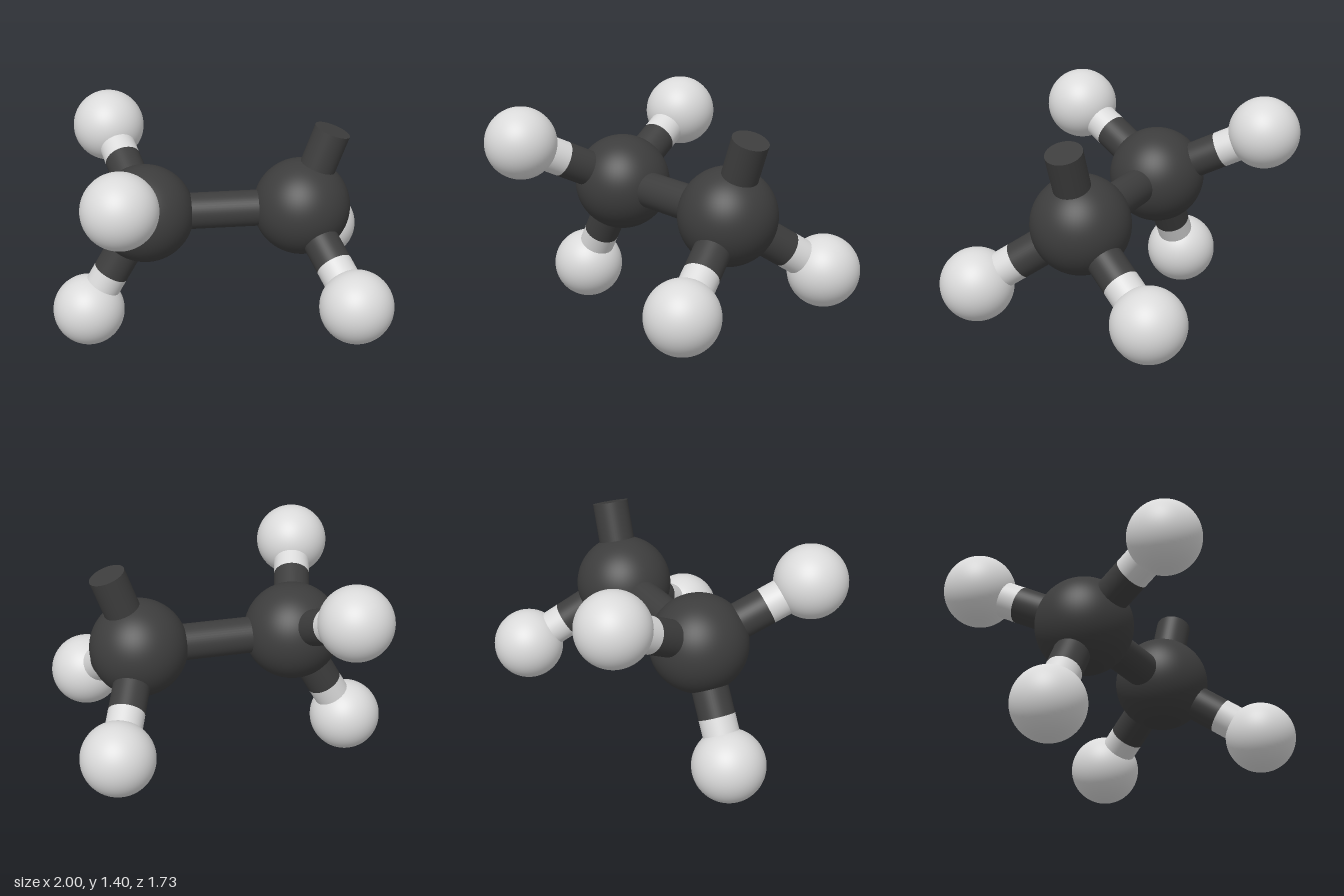
import * as THREE from 'three';

const BALL_C = 0.295, BALL_H = 0.22, ROD = 0.11;
const SPLIT = 0.6; // share of each rod that is dark

export function createModel() {
  const model = new THREE.Group();
  model.name = 'moleculeModel';
  const dark = new THREE.MeshStandardMaterial({ name: 'charcoal', color: 0x3d3d3d });
  const light = new THREE.MeshStandardMaterial({ name: 'paleGrey', color: 0xdadada });

  const add = (parent, name, geometry, material) => {
    const mesh = new THREE.Mesh(geometry, material);
    mesh.name = name;
    parent.add(mesh);
    return mesh;
  };

  const ball = (parent, name, centre, radius, material) =>
    add(parent, name, new THREE.SphereGeometry(radius, 64, 40), material).position.copy(centre);

  // Round rod between two points
  const rod = (parent, name, from, to, material) => {
    const axis = to.clone().sub(from);
    const mesh = add(parent, name, new THREE.CylinderGeometry(ROD, ROD, axis.length(), 48), material);
    mesh.position.copy(from).add(to).multiplyScalar(0.5);
    mesh.quaternion.setFromUnitVectors(new THREE.Vector3(0, 1, 0), axis.normalize());
  };

  // Two large dark balls joined by a rod
  const right = new THREE.Vector3(-0.418, 0.86, 0);
  const left = new THREE.Vector3(0.535, 0.86, 0);
  ball(model, 'rightLargeBall', right, BALL_C, dark);
  ball(model, 'leftLargeBall', left, BALL_C, dark);
  rod(model, 'centreRod', right, left, dark);

  // Open rod end
  rod(model, 'freeRod', left, new THREE.Vector3(0.71, 1.345, 0), dark);

  // Small light balls on two-tone rods
  const arms = [
    ['rightLowerArm', right, -0.78, 0.222, 0],
    ['rightFrontArm', right, -0.597, 1.184, 0.643],
    ['rightBackArm', right, -0.597, 1.184, -0.643],
    ['leftFrontArm', left, 0.777, 0.456, 0.57],
    ['leftBackArm', left, 0.777, 0.456, -0.57],
  ];
  for (const [name, from, x, y, z] of arms) {
    const arm = new THREE.Group();
    arm.name = name;
    const end = new THREE.Vector3(x, y, z);
    const middle = from.clone().lerp(end, SPLIT);
    rod(arm, 'darkRod', from, middle, dark);
    rod(arm, 'lightRod', middle, end, light);
    ball(arm, 'smallBall', end, BALL_H, light);
    model.add(arm);
  }
  return model;
}
